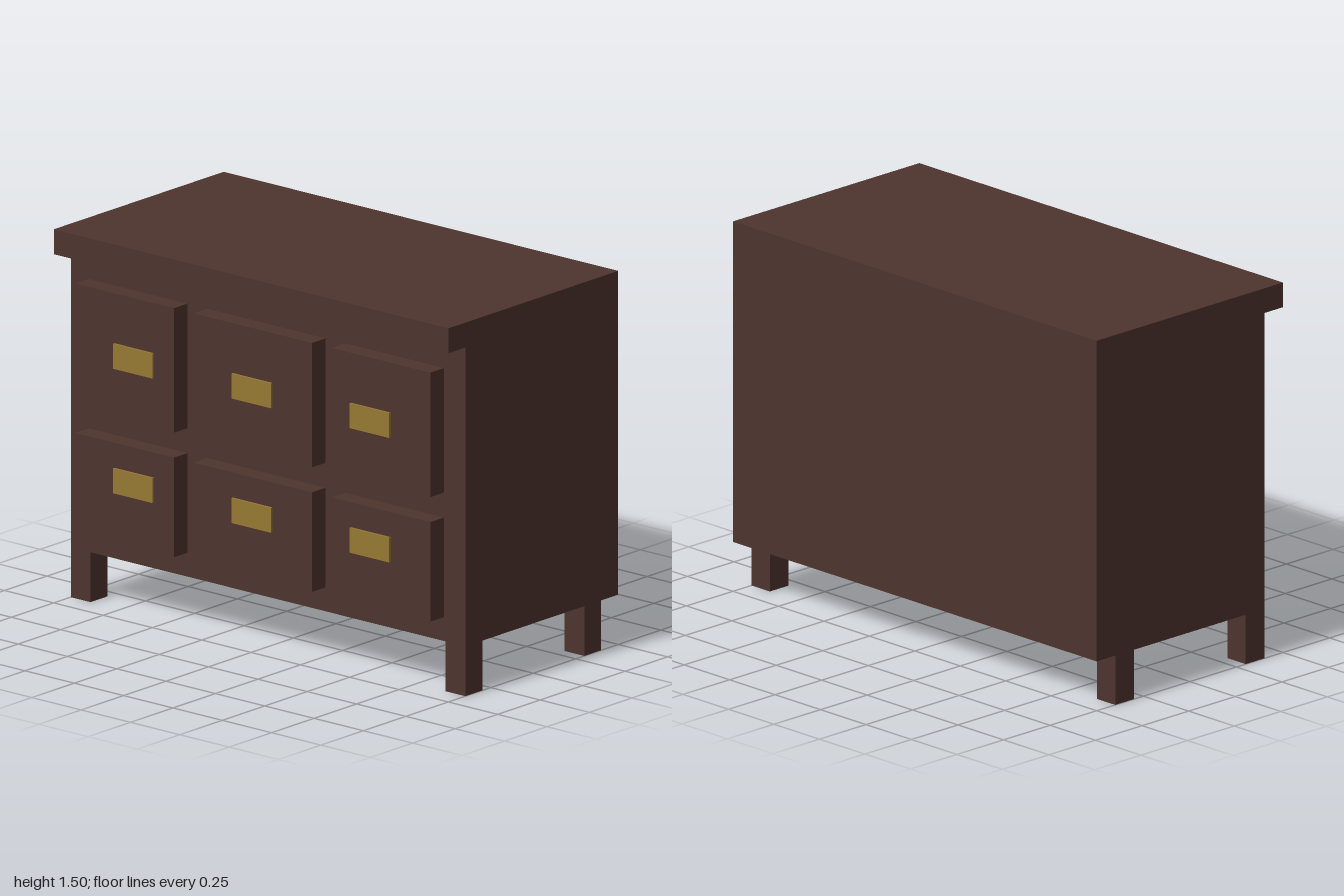
import * as THREE from 'three';

export function createModel() {
  const model = new THREE.Group();
  model.name = 'drawerChest';

  const wood = new THREE.MeshStandardMaterial({ color: 0x4e342e });
  wood.name = 'dark brown wood';
  const brass = new THREE.MeshStandardMaterial({ color: 0x967833 });
  brass.name = 'aged brass';

  // Box given by its extents along each axis
  function box(name, material, [x0, x1], [y0, y1], [z0, z1], parent = model) {
    const mesh = new THREE.Mesh(new THREE.BoxGeometry(x1 - x0, y1 - y0, z1 - z0), material);
    mesh.position.set((x0 + x1) / 2, (y0 + y1) / 2, (z0 + z1) / 2);
    mesh.name = name;
    parent.add(mesh);
  }

  // Cabinet: one side profile (overhanging top, flush back) extruded across the width
  const profile = new THREE.Shape([
    [-0.5, 0.2], [0.4, 0.2], [0.4, 1.4], [0.5, 1.4], [0.5, 1.5], [-0.5, 1.5],
  ].map(([z, y]) => new THREE.Vector2(-z, y)));
  const cabinetGeometry = new THREE.ExtrudeGeometry(profile, { depth: 2, bevelEnabled: false });
  cabinetGeometry.translate(0, 0, -1).rotateY(Math.PI / 2);
  const cabinet = new THREE.Mesh(cabinetGeometry, wood);
  cabinet.name = 'cabinet';
  model.add(cabinet);

  // Legs
  for (const x of [-1, 0.9]) {
    for (const [side, z] of [['front', 0.3], ['back', -0.4]]) {
      box(side + (x > 0 ? 'Left' : 'Right') + 'Leg', wood, [x, x + 0.1], [0, 0.2], [z, z + 0.1]);
    }
  }

  // Drawers: raised fronts held just off the cabinet by handles that run through them
  const columns = [
    { name: 'Right', x: [-0.9, -0.4], handle: -0.6 },
    { name: 'Middle', x: [-0.3, 0.3], handle: 0 },
    { name: 'Left', x: [0.4, 0.9], handle: 0.6 },
  ];
  const rows = [
    { name: 'upper', y: [0.8, 1.3], handle: 1.05 },
    { name: 'lower', y: [0.3, 0.7], handle: 0.55 },
  ];
  for (const row of rows) {
    for (const column of columns) {
      const drawer = new THREE.Group();
      drawer.name = row.name + column.name + 'Drawer';
      box('drawerFront', wood, column.x, row.y, [0.41, 0.49], drawer);
      box('handle', brass, [column.handle - 0.1, column.handle + 0.1],
        [row.handle - 0.05, row.handle + 0.05], [0.4, 0.5], drawer);
      model.add(drawer);
    }
  }

  return model;
}
